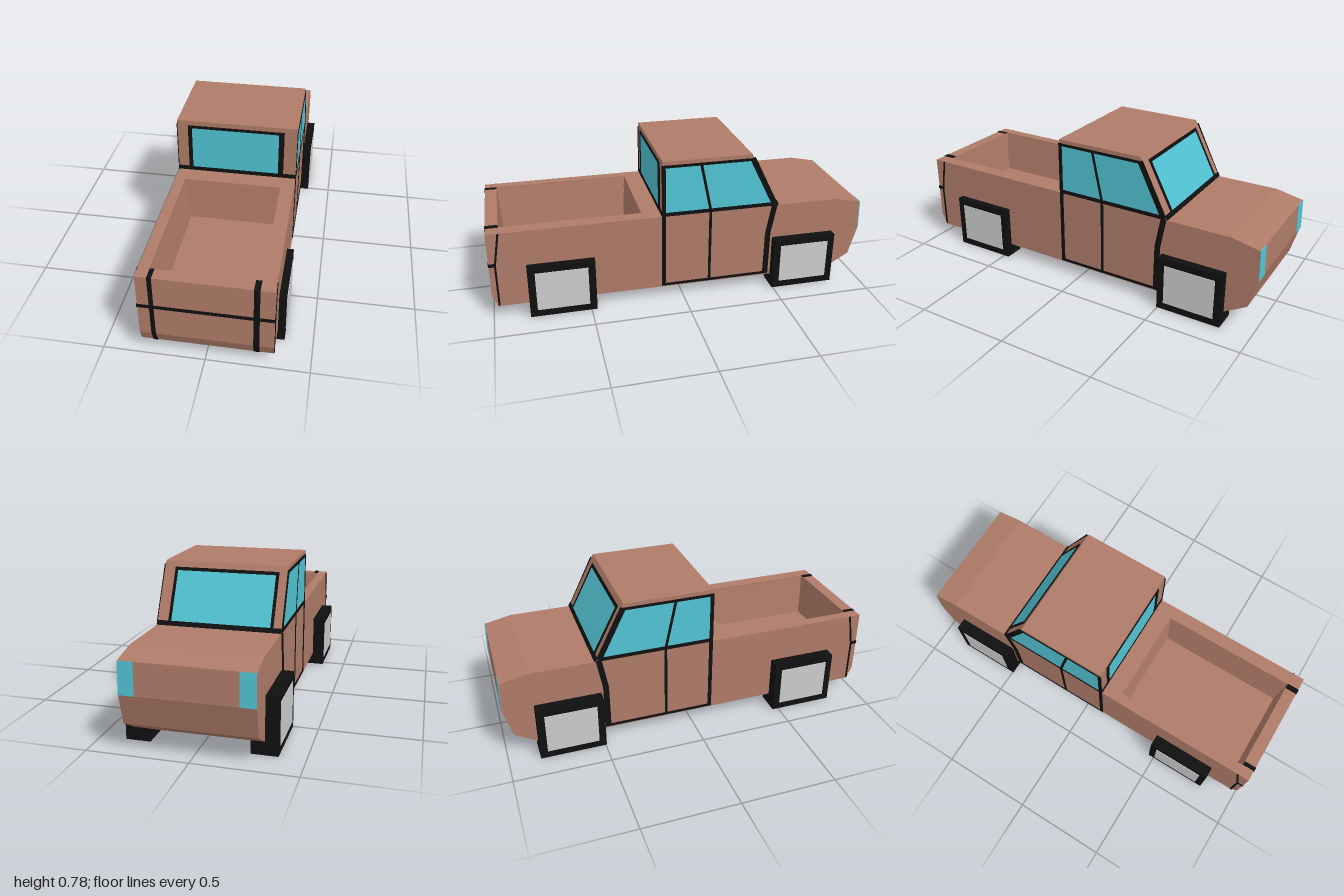
import * as THREE from 'three';

const paint = (color) => new THREE.MeshStandardMaterial({ color, flatShading: true });

export function createModel() {
  const truck = new THREE.Group();
  truck.name = 'pickupTruck';
  const brown = paint(0xaf7b68), black = paint(0x101010), teal = paint(0x51c3d3), grey = paint(0xcccccc);
  const LEFT = 0.325, RIGHT = -0.309; // body sides
  const SKIN = 0.003; // how far trim stands off the body

  function add(name, geometry, material) {
    const mesh = new THREE.Mesh(geometry, material);
    mesh.name = name;
    truck.add(mesh);
    return mesh;
  }

  // Side profile of [z, y] points, extruded from x0 to x1
  function slab(name, points, x0, x1, material) {
    const shape = new THREE.Shape(points.map(([z, y]) => new THREE.Vector2(z, y)));
    const geometry = new THREE.ExtrudeGeometry(shape, { depth: x1 - x0, bevelEnabled: false });
    geometry.rotateY(-Math.PI / 2).translate(x1, 0, 0);
    return add(name, geometry, material);
  }

  // Band of a given width along a path of [z, y] points, extruded from x0 to x1
  function band(name, path, width, x0, x1, material) {
    for (let i = 0; i < path.length - 1; i++) {
      const [az, ay] = path[i], [bz, by] = path[i + 1];
      const length = Math.hypot(bz - az, by - ay);
      const nz = -(by - ay) / length * width / 2, ny = (bz - az) / length * width / 2;
      slab(name, [[az + nz, ay + ny], [az - nz, ay - ny], [bz - nz, by - ny], [bz + nz, by + ny]], x0, x1, material);
    }
  }

  // Body: full-height sides, and a middle with the cargo bed cut out
  const lower = [[0.97, 0.068], [-0.83, 0.062], [-0.955, 0.135], [-0.998, 0.29], [-0.993, 0.45], [-0.85, 0.48],
    [-0.515, 0.48], [-0.36, 0.78], [0.11, 0.78], [0.11, 0.48]];
  const tail = [[0.998, 0.48], [0.998, 0.135]];
  const bedCut = [[0.21, 0.48], [0.225, 0.245], [0.92, 0.245], [0.935, 0.48]];
  slab('bodyRightSide', [...lower, ...tail], RIGHT, -0.255, brown);
  slab('bodyMiddle', [...lower, ...bedCut, ...tail], -0.255, 0.255, brown);
  slab('bodyLeftSide', [...lower, ...tail], 0.255, LEFT, brown);

  // Sloping inner walls of the bed
  for (const s of [-1, 1]) {
    const wedge = new THREE.Shape([
      new THREE.Vector2(s * 0.256, 0.479), new THREE.Vector2(s * 0.256, 0.24), new THREE.Vector2(s * 0.228, 0.24)]);
    const geometry = new THREE.ExtrudeGeometry(wedge, { depth: 0.715, bevelEnabled: false });
    add('bedWall', geometry.translate(0, 0, 0.215), brown);
  }

  // Doors and side windows
  const sideTrim = [
    ['doorRearSeam', [[0.105, 0.07], [0.105, 0.76]], 0.02],
    ['doorMiddleSeam', [[-0.145, 0.075], [-0.145, 0.49], [-0.09, 0.75]], 0.014],
    ['windowSill', [[0.11, 0.49], [-0.495, 0.49]], 0.02],
    ['windowTopTrim', [[0.11, 0.752], [-0.365, 0.752]], 0.014],
    ['doorBottomSeam', [[0.11, 0.077], [-0.475, 0.077]], 0.014],
    ['frontPillarTrim', [[-0.362, 0.758], [-0.498, 0.485], [-0.468, 0.32], [-0.465, 0.072]], 0.03],
    ['tailSideSeam', [[0.966, 0.072], [0.966, 0.305], [0.936, 0.48]], 0.01],
    ['tailSideBar', [[0.966, 0.306], [1, 0.306]], 0.018],
  ];
  for (const [x0, x1] of [[LEFT - SKIN, LEFT], [RIGHT, RIGHT + SKIN]]) {
    const out = x1 === LEFT ? SKIN / 2 : -SKIN / 2;
    slab('sideWindow', [[0.1, 0.49], [0.1, 0.75], [-0.36, 0.75], [-0.49, 0.49]], x0 + out, x1 + out, teal);
    for (const [name, path, width] of sideTrim) band(name, path, width, x0 + 2 * out, x1 + 2 * out, black);
  }

  // Windshield on the sloping front of the cab
  const shield = (t) => [-0.515 + 0.155 * t, 0.48 + 0.3 * t];
  band('windshield', [shield(0.04), shield(0.86)], 0.006, -0.255, 0.255, teal);
  band('windshieldTopTrim', [shield(0.85), shield(0.9)], 0.01, -0.268, 0.268, black);
  band('windshieldBottomTrim', [shield(0), shield(0.07)], 0.014, RIGHT, LEFT, black);
  for (const x of [-0.268, 0.253]) band('windshieldSideTrim', [shield(0.03), shield(0.9)], 0.01, x, x + 0.015, black);

  // Rear window
  band('rearWindow', [[0.11, 0.49], [0.11, 0.745]], 0.006, -0.235, 0.235, teal);
  band('rearWindowTopTrim', [[0.11, 0.74], [0.11, 0.754]], 0.01, -0.252, 0.258, black);
  band('rearWindowSill', [[0.11, 0.48], [0.11, 0.502]], 0.01, RIGHT, LEFT, black);

  // Tailgate bars, matching the rear window posts
  for (const [x0, x1] of [[-0.252, -0.231], [0.23, 0.258]]) {
    band('rearWindowPost', [[0.11, 0.48], [0.11, 0.754]], 0.01, x0, x1, black);
    band('tailgateBar', [[0.935, 0.48], [0.998, 0.48], [0.998, 0.135], [0.97, 0.068]], 0.005, x0, x1, black);
  }
  band('tailgateCrossBar', [[0.998, 0.297], [0.998, 0.315]], 0.005, RIGHT, LEFT, black);

  // Headlights at the outer corners of the nose
  for (const [x0, x1] of [[RIGHT, RIGHT + 0.075], [LEFT - 0.075, LEFT]]) {
    band('headlight', [[-0.998, 0.29], [-0.993, 0.45]], 0.005, x0, x1, teal);
  }

  // Square wheels: inner x, outer x, centre z
  for (const [inner, outer, z] of [[0.247, 0.37, -0.667], [0.247, 0.36, 0.643], [-0.242, -0.372, -0.667], [-0.242, -0.372, 0.64]]) {
    const tyre = add('tyre', new THREE.BoxGeometry(Math.abs(outer - inner), 0.29, 0.345), black);
    tyre.position.set((inner + outer) / 2, 0.145, z);
    const hub = add('hubPanel', new THREE.BoxGeometry(0.006, 0.215, 0.27), grey);
    hub.position.set(outer, 0.146, z);
  }
  return truck;
}
